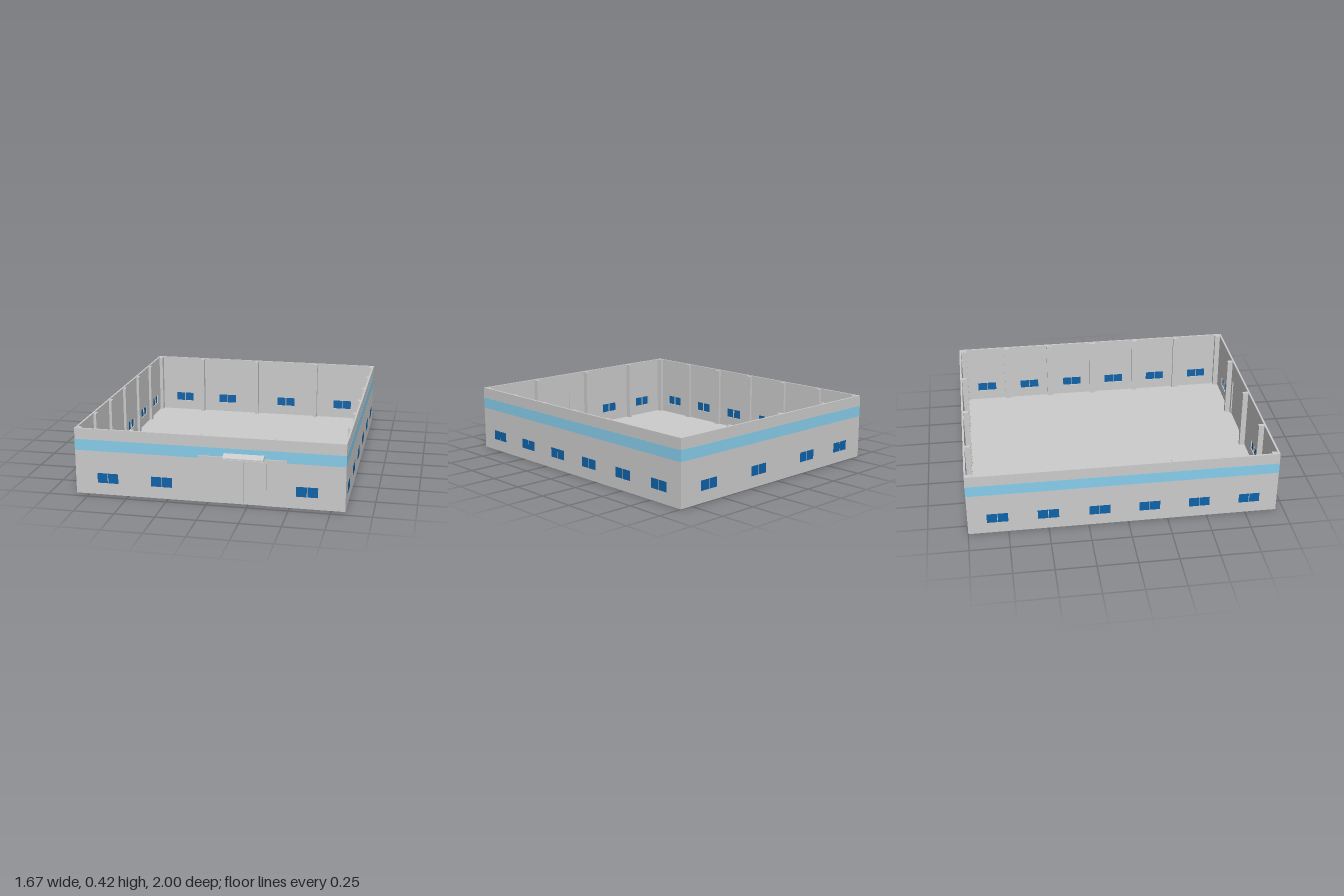
import * as THREE from 'three';

const W = 1.67, D = 1.95, H = 0.42, T = 0.012, CZ = -0.025;
const grey = new THREE.MeshStandardMaterial({ color: 0xcccccc });
const glass = new THREE.MeshStandardMaterial({ color: 0x0e63aa });
const sky = new THREE.MeshStandardMaterial({ color: 0x87ceeb });

function add(parent, name, geometry, material = grey) {
  const mesh = new THREE.Mesh(geometry, material);
  mesh.name = name;
  parent.add(mesh);
  return mesh;
}

// Box given by its min and max corners
function box(parent, name, [x0, y0, z0], [x1, y1, z1], material) {
  const mesh = add(parent, name, new THREE.BoxGeometry(x1 - x0, y1 - y0, z1 - z0), material);
  mesh.position.set((x0 + x1) / 2, (y0 + y1) / 2, (z0 + z1) / 2);
  return mesh;
}

function rectPath(x0, y0, x1, y1) {
  const p = new THREE.Path();
  p.moveTo(x0, y0).lineTo(x0, y1).lineTo(x1, y1).lineTo(x1, y0).closePath();
  return p;
}

function roundedRect(x0, y0, x1, y1, r) {
  const s = new THREE.Shape();
  s.moveTo(x0 + r, y0).lineTo(x1 - r, y0).quadraticCurveTo(x1, y0, x1, y0 + r);
  s.lineTo(x1, y1 - r).quadraticCurveTo(x1, y1, x1 - r, y1);
  s.lineTo(x0 + r, y1).quadraticCurveTo(x0, y1, x0, y1 - r);
  s.lineTo(x0, y0 + r).quadraticCurveTo(x0, y0, x0 + r, y0);
  return s;
}

// A wall with its outer face on local z = 0, facing +z
function makeWall(name, { length, bandLength, windows, columns, columnSize, door }) {
  const wall = new THREE.Group();
  wall.name = name;
  const h = length / 2;
  const shape = new THREE.Shape();
  shape.moveTo(-h, 0);
  if (door) shape.lineTo(door[0], 0).lineTo(door[0], door[2]).lineTo(door[1], door[2]).lineTo(door[1], 0);
  shape.lineTo(h, 0).lineTo(h, H).lineTo(-h, H).closePath();

  // Twin-pane windows set in openings
  for (const x of windows) {
    for (const [a, b] of [[x - 0.066, x - 0.002], [x + 0.002, x + 0.066]]) {
      shape.holes.push(rectPath(a, 0.075, b, 0.138));
      box(wall, 'windowPane', [a, 0.075, -0.005], [b, 0.138, 0.0005], glass);
    }
  }
  const panel = new THREE.ExtrudeGeometry(shape, { depth: T, bevelEnabled: false });
  add(wall, 'wallPanel', panel).position.z = -T;
  box(wall, 'colourBand', [-bandLength / 2, 0.28, -0.001], [bandLength / 2, 0.35, 0.001], sky);

  // Inside columns
  const [cw, cd] = columnSize;
  for (const x of columns) {
    box(wall, 'column', [x - cw / 2, 0, -T - cd], [x + cw / 2, H - 0.003, -T + 0.002]);
  }
  return wall;
}

export function createModel() {
  const model = new THREE.Group();
  model.name = 'hall';

  box(model, 'floor', [-W / 2 + 0.003, 0, CZ - D / 2 + 0.003], [W / 2 - 0.003, 0.006, CZ + D / 2 - 0.003]);

  // Front and back walls
  const endColumns = [-0.811, -0.48, -0.055, 0.4, 0.811];
  const ends = { length: W, bandLength: W, columnSize: [0.024, 0.036] };
  const front = makeWall('frontWall', {
    ...ends, windows: [-0.63, -0.29, 0.605], columns: endColumns, door: [0.095, 0.36, 0.278],
  });
  front.position.z = CZ + D / 2;
  const back = makeWall('backWall', {
    ...ends, windows: [0.63, 0.29, -0.17, -0.605], columns: endColumns.map((x) => -x),
  });
  back.position.z = CZ - D / 2;
  back.rotation.y = Math.PI;
  model.add(front, back);

  // Side walls, mirrored
  const sideWindows = [-0.815, -0.5, -0.18, 0.135, 0.45, 0.77];
  const sideColumns = [-0.66, -0.345, -0.025, 0.29, 0.605];
  for (const s of [1, -1]) {
    const along = (z) => -s * (z - CZ);
    const side = makeWall(s > 0 ? 'leftWall' : 'rightWall', {
      length: D - 2 * T, bandLength: D, columnSize: [0.04, 0.018],
      windows: sideWindows.map(along), columns: sideColumns.map(along),
    });
    side.position.set(s * W / 2, 0, CZ);
    side.rotation.y = s * Math.PI / 2;
    model.add(side);
  }

  // Sliding entrance: backing panel, two leaves, rail and sloping canopy
  const entrance = new THREE.Group();
  entrance.name = 'entrance';
  entrance.position.z = CZ + D / 2;
  model.add(entrance);
  box(entrance, 'doorBacking', [0.095, 0.002, -0.004], [0.36, 0.278, 0]);
  for (const [x0, x1] of [[0.09, 0.22], [0.232, 0.362]]) {
    const leaf = new THREE.ExtrudeGeometry(roundedRect(x0, 0.005, x1, 0.279, 0.009), {
      depth: 0.008, bevelEnabled: false, curveSegments: 4,
    });
    add(entrance, 'doorLeaf', leaf);
  }
  box(entrance, 'doorRail', [-0.057, 0.282, 0], [0.487, 0.297, 0.01]);

  const profile = new THREE.Shape();
  profile.moveTo(0, 0.297).lineTo(0.05, 0.298).lineTo(0.05, 0.304).lineTo(0, 0.32).closePath();
  const canopy = add(entrance, 'canopy', new THREE.ExtrudeGeometry(profile, { depth: 0.247, bevelEnabled: false }));
  canopy.rotation.y = -Math.PI / 2; // profile x becomes z, extrusion runs to -x
  canopy.position.x = 0.347;

  return model;
}
